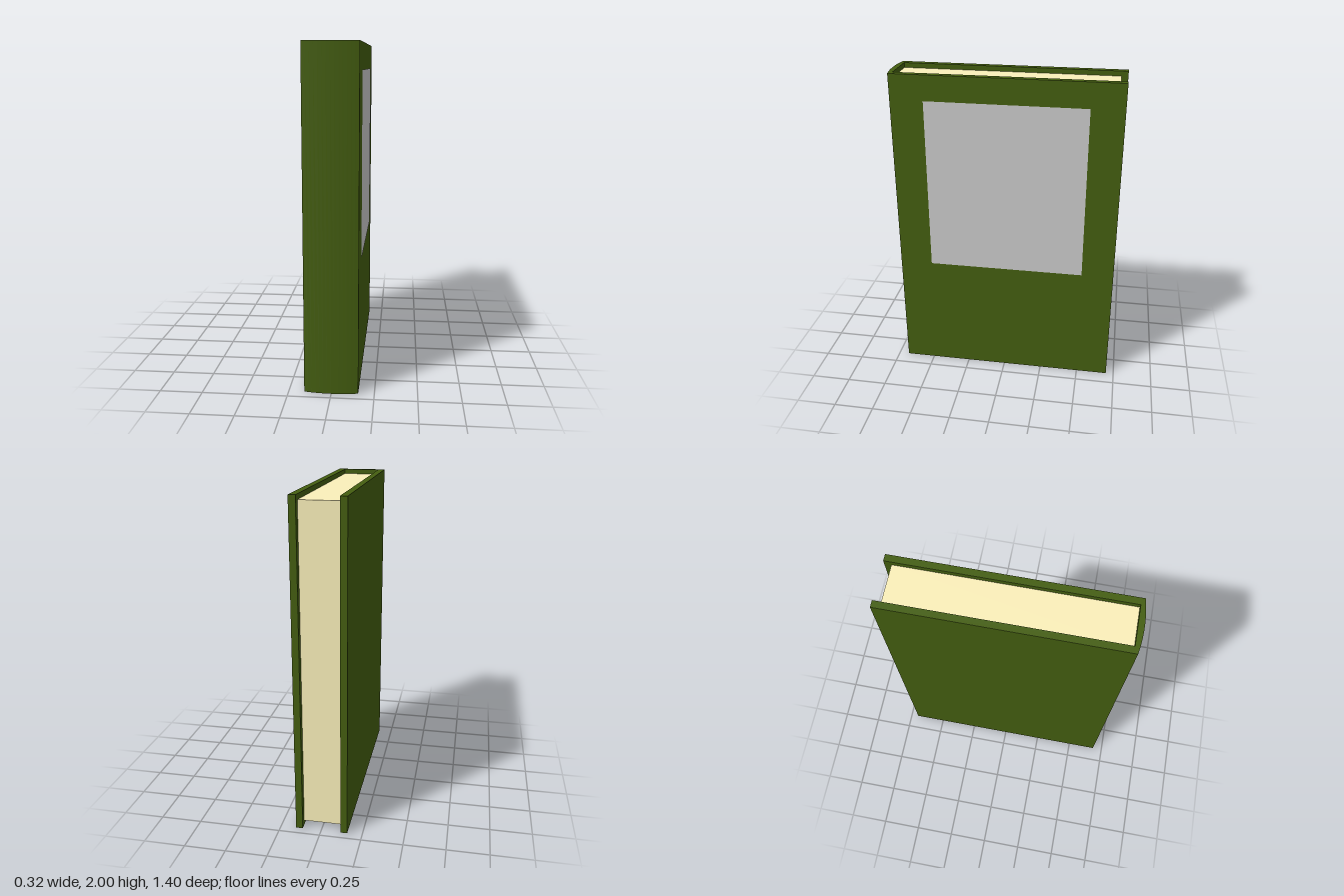
import * as THREE from 'three';

export function createModel() {
  const model = new THREE.Group();
  const add = (name, geometry, material) => {
    const mesh = new THREE.Mesh(geometry, material);
    mesh.name = name;
    model.add(mesh);
    return mesh;
  };

  const height = 2, left = -0.159, right = 0.156, board = 0.041;
  const back = -0.7, spineEdge = 0.685, spineInner = 0.665;

  // U-shaped case: two boards joined by a gently rounded spine (shape y is -z)
  const outline = new THREE.Shape();
  outline.moveTo(left, -back);
  outline.lineTo(left, -spineEdge);
  outline.quadraticCurveTo((left + right) / 2, -0.715, right, -spineEdge);
  outline.lineTo(right, -back);
  outline.lineTo(right - board, -back);
  outline.lineTo(right - board, -spineInner);
  outline.lineTo(left + board, -spineInner);
  outline.lineTo(left + board, -back);
  outline.closePath();
  const caseGeometry = new THREE.ExtrudeGeometry(outline, {
    depth: height, bevelEnabled: false, curveSegments: 14,
  });
  caseGeometry.rotateX(-Math.PI / 2);
  add('cover', caseGeometry, new THREE.MeshStandardMaterial({ color: 0x445e10 }));

  // Page block, set in from the top, bottom and fore edge
  const inset = 0.03, pageBack = -0.66;
  const pages = add('pages',
    new THREE.BoxGeometry(right - left - 2 * board, height - 2 * inset, spineInner - pageBack),
    new THREE.MeshStandardMaterial({ color: 0xfbf0ba }));
  pages.position.set((left + right) / 2, height / 2, (spineInner + pageBack) / 2);

  // Flat panel on the cover board
  const panel = add('coverPanel', new THREE.PlaneGeometry(0.98, 1.09),
    new THREE.MeshStandardMaterial({ color: 0xcccccc, side: THREE.DoubleSide }));
  panel.rotation.y = Math.PI / 2;
  panel.position.set(0.159, 1.3, -0.01);

  return model;
}
